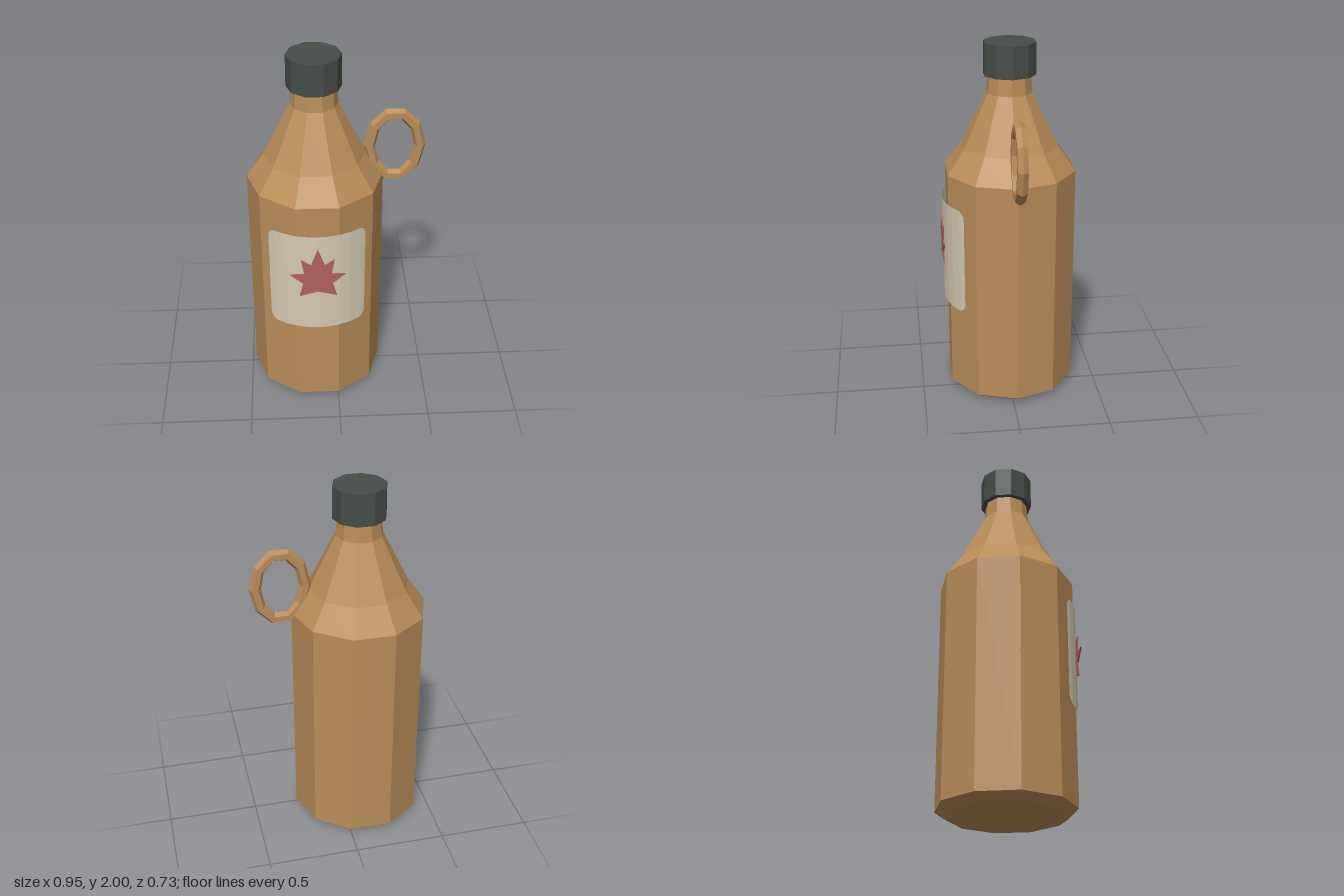
import * as THREE from 'three';

const flat = (name, color, side = THREE.FrontSide) =>
  new THREE.MeshStandardMaterial({ name, color, side, flatShading: true });

const amber = flat('amber bottle', 0xb98d58);
const charcoal = flat('charcoal cap', 0x464d48);
const cream = flat('cream paper', 0xd4cab4, THREE.DoubleSide);
const red = flat('leaf red', 0xb0625b);

const SIDES = 10;
const AXIS_X = -0.112, AXIS_Z = -0.017;

function part(name, geometry, material) {
  const mesh = new THREE.Mesh(geometry, material);
  mesh.name = name;
  return mesh;
}

// Ten-sided turned solid with corners on the x axis
function turned(profile) {
  const points = profile.map(([r, y]) => new THREE.Vector2(r, y));
  return new THREE.LatheGeometry(points, SIDES, Math.PI / 2);
}

// Oval ring: a torus whose centre line is stretched upwards, keeping the tube even
function ovalRing(rx, ry, tube) {
  const g = new THREE.TorusGeometry(rx, tube, 6, SIDES);
  const p = g.attributes.position;
  for (let i = 0; i < p.count; i++) {
    const angle = Math.atan2(p.getY(i), p.getX(i));
    p.setY(i, p.getY(i) + (ry - rx) * Math.sin(angle));
  }
  return g;
}

// Paper sheet bent round the bottle, with clipped corners
function bentLabel(radius, bottom, top) {
  const half = [[0.255, 0.035], [0.243, 0.012], [0.225, 0], [0.17, 0], [0.115, 0], [0.058, 0]];
  const columns = [
    ...half.map(([x, inset]) => [-x, inset]),
    [0, 0],
    ...half.map(([x, inset]) => [x, inset]).reverse(),
  ];
  const g = new THREE.PlaneGeometry(1, 1, columns.length - 1, 1);
  const p = g.attributes.position;
  columns.forEach(([x, inset], i) => {
    const z = Math.sqrt(radius * radius - x * x);
    p.setXYZ(i, x, top - inset, z);
    p.setXYZ(i + columns.length, x, bottom + inset, z);
  });
  g.computeVertexNormals();
  return g;
}

// Seven-pointed leaf, mirrored from its right half
function leaf() {
  const right = [[0.036, 0.966], [0.088, 1.003], [0.073, 0.912], [0.147, 0.911], [0.078, 0.849], [0.099, 0.769]];
  const outline = [
    [0, 1.068], ...right, [0, 0.796],
    ...right.map(([x, y]) => [-x, y]).reverse(),
  ].map(([x, y]) => new THREE.Vector2(x, y));
  return new THREE.ExtrudeGeometry(new THREE.Shape(outline), { depth: 0.007, bevelEnabled: false });
}

export function createModel() {
  const model = new THREE.Group();
  model.name = 'jug';

  // Everything centred on the bottle axis
  const body = new THREE.Group();
  body.name = 'bottleAssembly';
  body.position.set(AXIS_X, 0, AXIS_Z);
  model.add(body);

  body.add(part('bottle', turned([
    [0, 0], [0.312, 0], [0.366, 0.037], [0.366, 1.303],
    [0.27, 1.437], [0.126, 1.73], [0.116, 1.84], [0, 1.84],
  ]), amber));

  body.add(part('cap', turned([
    [0, 1.826], [0.144, 1.826], [0.143, 2], [0, 2],
  ]), charcoal));

  body.add(part('label', bentLabel(0.376, 0.545, 1.145), cream));

  const emblem = part('leafEmblem', leaf(), red);
  emblem.position.z = 0.374;
  body.add(emblem);

  // Finger loop at the shoulder
  const handle = part('handle', ovalRing(0.133, 0.19, 0.032), amber);
  handle.position.set(0.31, 1.47, AXIS_Z);
  model.add(handle);

  return model;
}
